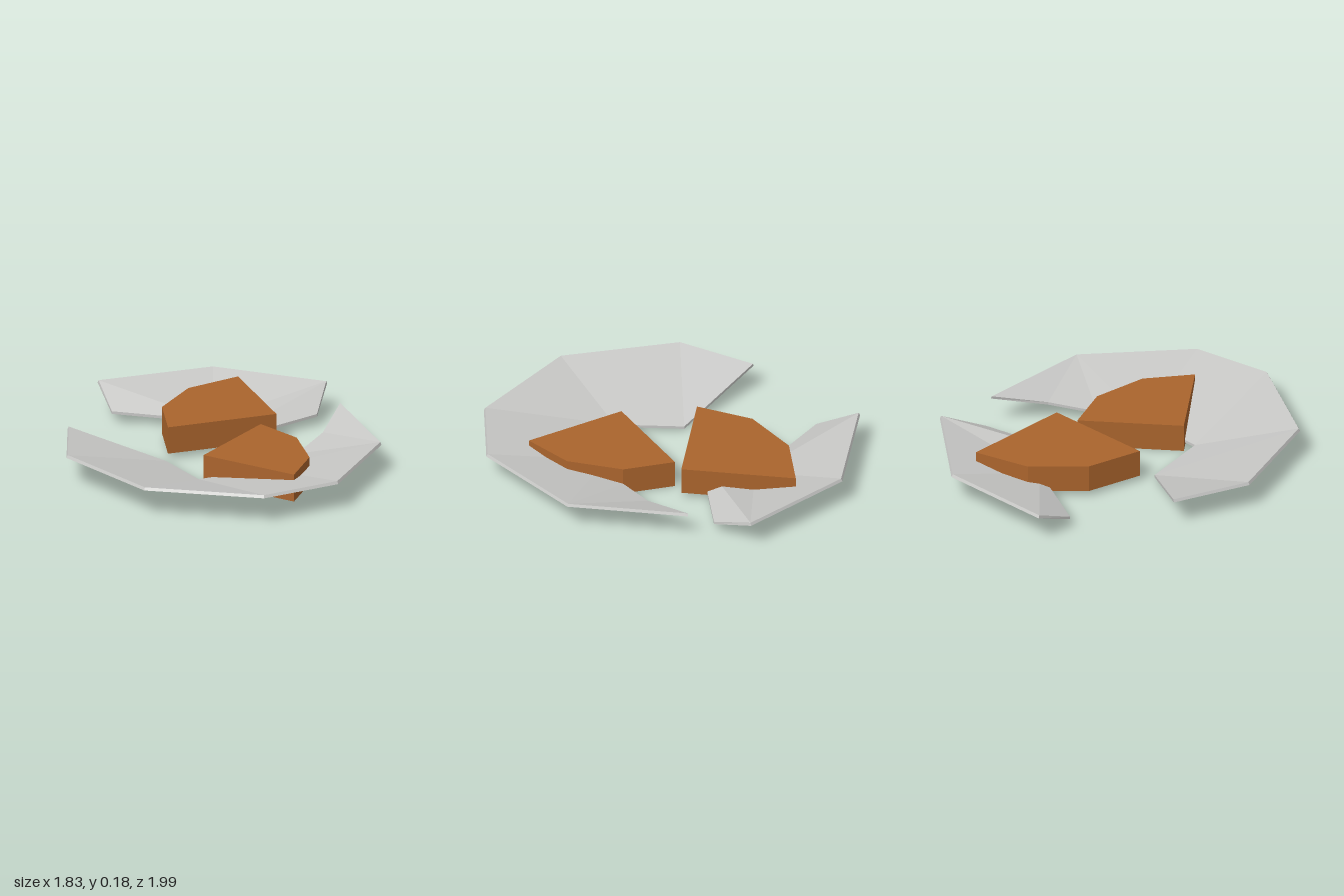
import * as THREE from 'three';

const THICK = 0.015;
const RIM = 0.145;

// Broken plate piece: cross-sections running from the outer rim [x, z] to the broken edge [x, y, z]
function shardGeometry(sections) {
  const outer = sections.map(([o]) => new THREE.Vector3(o[0], RIM, o[1]));
  const inner = sections.map(([, i]) => new THREE.Vector3(...i));
  const positions = [];
  const tri = (a, b, c) => {
    if (a.equals(b) || b.equals(c) || a.equals(c)) return;
    for (const p of [a, b, c]) positions.push(p.x, p.y, p.z);
  };
  // the upper surface sits one thickness up, its rim slightly inset
  const raise = (p) => {
    const s = p.y === RIM ? 0.992 : 1;
    return new THREE.Vector3(p.x * s, p.y + THICK, p.z * s);
  };

  // upper and lower skins
  for (let k = 0; k < sections.length - 1; k++) {
    const faces = [
      [outer[k], outer[k + 1], inner[k]],
      [outer[k + 1], inner[k + 1], inner[k]],
    ];
    for (const [a, b, c] of faces) {
      tri(raise(a), raise(b), raise(c));
      tri(a, c, b);
    }
  }

  // edge wall all the way round
  const loop = [...outer, ...inner.slice().reverse()];
  loop.forEach((a, k) => {
    const b = loop[(k + 1) % loop.length];
    if (a.equals(b)) return;
    tri(a, b, raise(b));
    tri(a, raise(b), raise(a));
  });

  const geometry = new THREE.BufferGeometry();
  geometry.setAttribute('position', new THREE.Float32BufferAttribute(positions, 3));
  geometry.computeVertexNormals();
  return geometry;
}

// Upright chunk with an [x, z] outline between two heights
function chunkGeometry(outline, bottom, top) {
  const shape = new THREE.Shape(outline.map(([x, z]) => new THREE.Vector2(x, -z)));
  const geometry = new THREE.ExtrudeGeometry(shape, { depth: top - bottom, bevelEnabled: false });
  geometry.rotateX(-Math.PI / 2);
  geometry.translate(0, bottom, 0);
  return geometry;
}

export function createModel() {
  const group = new THREE.Group();
  const plate = new THREE.MeshStandardMaterial({ color: 0xc8c8c6 });
  plate.name = 'plateGrey';
  const crust = new THREE.MeshStandardMaterial({ color: 0xaa642d });
  crust.name = 'chunkBrown';

  const add = (name, geometry, material) => {
    const mesh = new THREE.Mesh(geometry, material);
    mesh.name = name;
    group.add(mesh);
  };

  // large piece of the plate, pointed at both ends
  add('largePlateShard', shardGeometry([
    [[-0.55, -0.6], [-0.55, RIM, -0.6]],
    [[-0.86, -0.29], [-0.28, 0.005, -0.14]],
    [[-0.915, 0.35], [-0.38, 0.02, 0.21]],
    [[-0.55, 0.875], [-0.25, 0.025, 0.27]],
    [[-0.12, 0.99], [-0.05, 0.03, 0.35]],
    [[0.46, 0.72], [0.21, 0.045, 0.34]],
    [[0.46, 0.72], [0.46, 0.085, 0.28]],
    [[0.73, 0.14], [0.73, RIM, 0.14]],
  ]), plate);

  // small piece of the plate
  add('smallPlateShard', shardGeometry([
    [[0.91, -0.15], [0.7, 0.05, -0.01]],
    [[0.91, -0.15], [0.05, 0.02, -0.126]],
    [[0.91, -0.15], [0.28, 0.03, -0.36]],
    [[0.64, -0.73], [0.28, 0.03, -0.36]],
    [[0.06, -1], [-0.04, 0.05, -0.79]],
  ]), plate);

  // two thick wedges lying on the pieces
  add('frontWedge', chunkGeometry(
    [[-0.325, 0.19], [-0.195, 0.735], [0.05, 0.6], [0.21, 0.34], [0.22, 0.06]], 0, 0.15), crust);
  add('backWedge', chunkGeometry(
    [[0.335, 0.06], [0.59, -0.49], [0.28, -0.545], [-0.02, -0.435], [-0.215, -0.19]], 0.03, 0.177), crust);

  return group;
}
